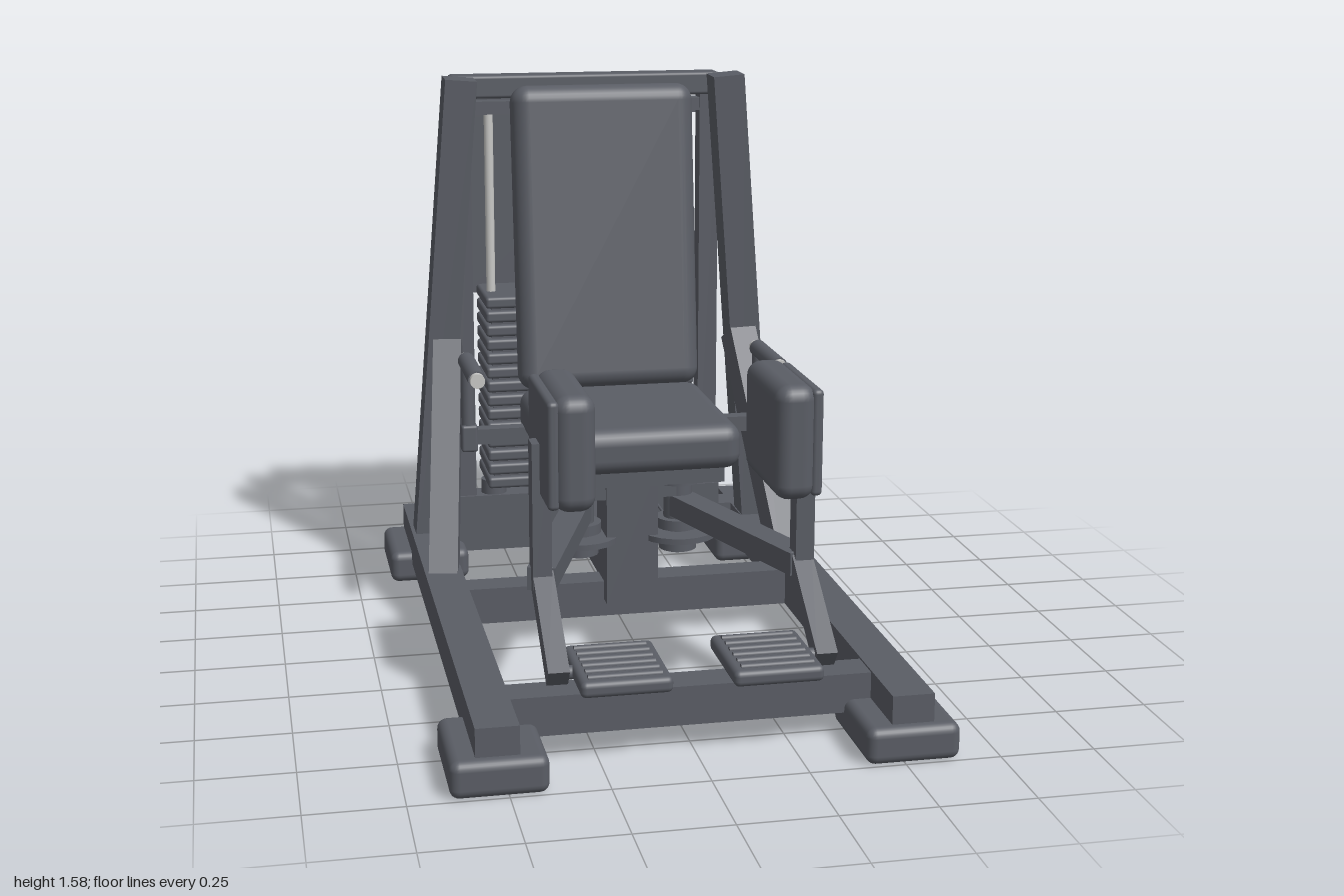
import * as THREE from 'three';
import { RoundedBoxGeometry } from 'three/addons/geometries/RoundedBoxGeometry.js';

export function createModel() {
  const model = new THREE.Group();
  model.name = 'thighMachine';
  const grey = new THREE.MeshStandardMaterial({ color: 0x5a5d65 });
  grey.name = 'slateGrey';
  const light = new THREE.MeshStandardMaterial({ color: 0xc8c8c6 });
  light.name = 'brightSteel';

  const add = (name, geometry, x, y, z, material = grey) => {
    const mesh = new THREE.Mesh(geometry, material);
    mesh.name = name;
    mesh.position.set(x, y, z);
    model.add(mesh);
    return mesh;
  };
  // Box given by its limits on each axis; a radius rounds its edges
  const box = (name, [x0, x1], [y0, y1], [z0, z1], radius = 0) => {
    const size = [Math.abs(x1 - x0), y1 - y0, z1 - z0];
    const geometry = radius ? new RoundedBoxGeometry(...size, 3, radius) : new THREE.BoxGeometry(...size);
    return add(name, geometry, (x0 + x1) / 2, (y0 + y1) / 2, (z0 + z1) / 2);
  };
  // Straight square or round member from point a to point b
  const aim = (mesh, a, b) => {
    const d = b.clone().sub(a).normalize();
    if (Math.abs(d.y) > 0.9) mesh.up.set(0, 0, 1);
    mesh.lookAt(mesh.position.clone().add(d));
    return mesh;
  };
  const bar = (name, p, q, w, h) => {
    const a = new THREE.Vector3(...p), b = new THREE.Vector3(...q), m = a.clone().add(b).multiplyScalar(0.5);
    return aim(add(name, new THREE.BoxGeometry(w, h, a.distanceTo(b)), m.x, m.y, m.z), a, b);
  };
  const rod = (name, p, q, r, material = grey) => {
    const a = new THREE.Vector3(...p), b = new THREE.Vector3(...q), m = a.clone().add(b).multiplyScalar(0.5);
    const geometry = new THREE.CylinderGeometry(r, r, a.distanceTo(b), 20).rotateX(Math.PI / 2);
    return aim(add(name, geometry, m.x, m.y, m.z, material), a, b);
  };

  // Base cross beams and centre spine
  box('frontCrossBeam', [-0.48, 0.48], [0.07, 0.175], [0.69, 0.79]);
  box('middleCrossBeam', [-0.48, 0.48], [0.07, 0.175], [-0.14, -0.05]);
  box('rearCrossBeam', [-0.48, 0.48], [0.07, 0.18], [-0.83, -0.73]);
  box('stackSill', [-0.43, 0.43], [0.18, 0.25], [-0.82, -0.73]);
  box('centreSpine', [-0.05, 0.05], [0.12, 0.23], [-0.75, -0.1]);

  // Seat and its post
  box('seatPost', [-0.075, 0.075], [0.12, 0.53], [-0.16, -0.005]);
  box('seatBoard', [-0.23, 0.23], [0.52, 0.575], [-0.36, 0.16]);
  box('seatCushion', [-0.275, 0.275], [0.56, 0.69], [-0.375, 0.195], 0.045);

  // Reclined backrest with its board and support
  const tilt = -0.125;
  const back = add('backCushion', new RoundedBoxGeometry(0.545, 0.9, 0.11, 4, 0.05), 0, 1.125, -0.433);
  back.rotation.x = tilt;
  const board = add('backBoard', new THREE.BoxGeometry(0.46, 0.8, 0.025), 0, 1.117, -0.495);
  board.rotation.x = tilt;
  bar('backSupport', [0, 0.2, -0.48], [0, 1.48, -0.6], 0.11, 0.09);

  // Weight stack
  const plates = 14, pitch = 0.0445;
  for (let i = 0; i < plates; i++) {
    const y = 0.29 + i * pitch;
    box('weightPlate', [-0.33, 0.33], [y, y + 0.036], [-0.908, -0.665], 0.01);
  }
  box('stackCore', [-0.31, 0.31], [0.295, 0.9], [-0.89, -0.685]);
  rod('selectorPin', [0, 0.505, -0.9], [0, 0.505, -0.975], 0.006, light);
  add('pinKnob', new RoundedBoxGeometry(0.05, 0.026, 0.03, 2, 0.008), 0, 0.505, -0.985, light);

  // Stack tower top and rear shroud
  box('towerTopRail', [-0.42, 0.42], [1.51, 1.58], [-0.815, -0.73], 0.01);
  box('pulleyRail', [-0.38, 0.38], [1.46, 1.5], [-0.8, -0.745]);
  box('rearShroud', [-0.365, 0.365], [0.87, 1.5], [-0.953, -0.932]);

  for (const s of [1, -1]) {
    const X = (a, b) => (s > 0 ? [a, b] : [-b, -a]);

    // Feet, side rail, leaning upright and diagonal brace
    box('frontFoot', X(0.4, 0.645), [0.008, 0.105], [0.69, 1], 0.025);
    box('rearFoot', X(0.4, 0.645), [0.008, 0.105], [-0.935, -0.635], 0.025);
    box('sideRail', X(0.47, 0.58), [0.07, 0.18], [-0.92, 0.97]);
    bar('mainUpright', [s * 0.526, 0.12, -0.642], [s * 0.407, 1.585, -0.6], 0.095, 0.1);
    bar('diagonalBrace', [s * 0.525, 0.13, -0.215], [s * 0.457, 0.78, -0.6], 0.085, 0.085);

    // Stack tower side, guide rod, buffer, pulley and cables
    box('towerUpright', X(0.36, 0.42), [0.18, 1.53], [-0.8, -0.74]);
    rod('guideRod', [s * 0.3, 0.25, -0.775], [s * 0.3, 1.47, -0.775], 0.014, light);
    rod('stackBuffer', [s * 0.3, 0.24, -0.775], [s * 0.3, 0.295, -0.775], 0.04);
    rod('topPulley', [s * 0.12, 1.425, -0.768], [s * 0.155, 1.425, -0.768], 0.065);
    box('pulleyHanger', X(0.115, 0.16), [1.42, 1.52], [-0.785, -0.75]);
    rod('frontCable', [s * 0.14, 0.31, -0.703], [s * 0.14, 1.425, -0.703], 0.004);
    rod('stackCable', [s * 0.14, 1.41, -0.833], [s * 0.03, 0.9, -0.785], 0.004);
    rod('lowCable', [s * 0.14, 0.315, -0.15], [s * 0.14, 0.315, -0.703], 0.004);
    box('shroudBracket', X(0.325, 0.355), [1.45, 1.475], [-0.94, -0.78]);

    // Leg pivot with flanges and cam disc
    const px = s * 0.145, pz = -0.06;
    const disc = (name, y0, y1, r) => rod(name, [px, y0, pz], [px, y1, pz], r);
    disc('pivotShaft', 0.26, 0.54, 0.042);
    disc('upperFlange', 0.465, 0.51, 0.063);
    disc('lowerFlange', 0.33, 0.36, 0.063);
    disc('camDisc', 0.305, 0.322, 0.113);
    disc('pivotFoot', 0.265, 0.29, 0.055);
    box('pivotMount', X(0.05, 0.15), [0.43, 0.47], [-0.1, -0.02]);

    // Swinging leg arm, pad post and lower arm
    bar('swingArm', [px, 0.4, pz], [s * 0.35, 0.4, 0.545], 0.075, 0.062);
    box('padPost', X(0.325, 0.375), [0.37, 0.77], [0.51, 0.57]);
    bar('lowerArm', [s * 0.347, 0.41, 0.53], [s * 0.347, 0.22, 0.79], 0.055, 0.055);

    // Thigh pad
    box('thighPadBoard', X(0.325, 0.355), [0.63, 0.91], [0.38, 0.705], 0.012);
    box('thighPad', X(0.23, 0.338), [0.62, 0.922], [0.365, 0.715], 0.04);

    // Ribbed footrest
    rod('footrestPeg', [s * 0.29, 0.228, 0.77], [s * 0.365, 0.228, 0.77], 0.018);
    box('footrest', X(0.077, 0.31), [0.21, 0.252], [0.637, 0.915], 0.015);
    for (let i = 0; i < 6; i++) {
      const z = 0.675 + i * 0.041;
      rod('footrestRib', [s * 0.1, 0.252, z], [s * 0.288, 0.252, z], 0.009);
    }

    // Seat handle with bright end caps
    box('handleCarrier', X(0.15, 0.45), [0.55, 0.595], [-0.3, -0.255]);
    box('handleSocket', X(0.412, 0.46), [0.53, 0.61], [-0.295, -0.245], 0.008);
    rod('handlePost', [s * 0.438, 0.56, -0.27], [s * 0.438, 0.795, -0.27], 0.02);
    rod('handleGrip', [s * 0.438, 0.797, -0.285], [s * 0.438, 0.797, -0.04], 0.025);
    rod('gripFrontCap', [s * 0.438, 0.797, -0.042], [s * 0.438, 0.797, -0.02], 0.021, light);
    rod('gripRearCap', [s * 0.438, 0.797, -0.283], [s * 0.438, 0.797, -0.315], 0.018, light);
  }
  return model;
}
